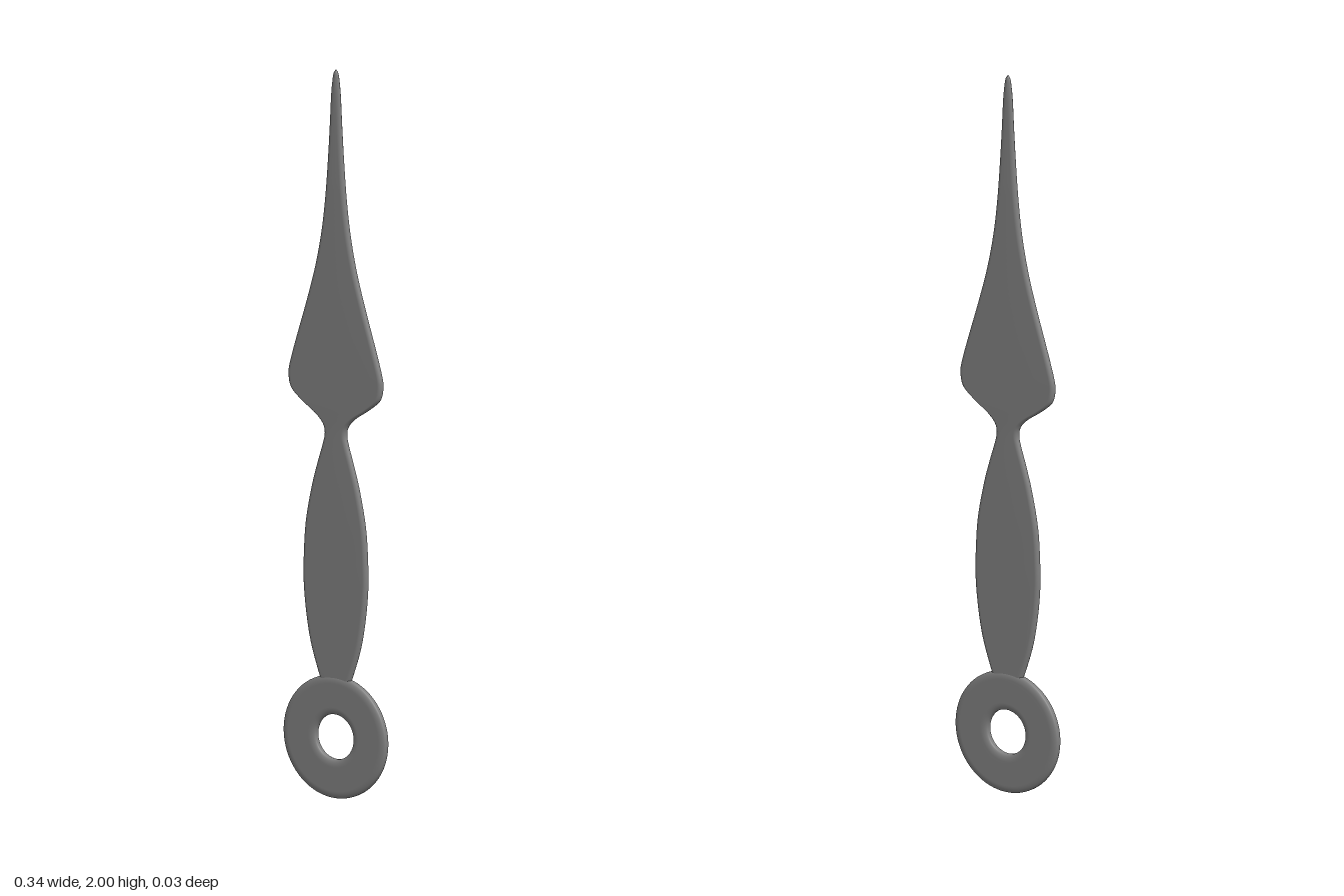
import * as THREE from 'three';

const material = new THREE.MeshStandardMaterial({ color: 0x808080, side: THREE.DoubleSide });

// Blade outline: half width at each height
const outline = [
  [0.03, 0.28], [0.055, 0.34], [0.081, 0.42], [0.096, 0.5], [0.104, 0.58], [0.104, 0.65],
  [0.097, 0.75], [0.077, 0.85], [0.057, 0.92], [0.041, 0.97], [0.035, 1.0], [0.042, 1.025],
  [0.067, 1.05], [0.105, 1.075], [0.137, 1.1], [0.15, 1.12], [0.154, 1.15], [0.149, 1.18],
  [0.128, 1.25], [0.096, 1.35], [0.067, 1.45], [0.046, 1.55], [0.033, 1.65], [0.025, 1.75],
  [0.019, 1.85], [0.015, 1.93], [0.011, 1.97], [0.007, 1.99], [0, 2],
].map(([w, y]) => new THREE.Vector2(w, y));

// Flat cross-sections with rounded edges, stacked along the outline
function bladeGeometry() {
  const rows = new THREE.SplineCurve(outline).getPoints(168);
  const arc = 6;
  const count = 2 * (arc + 1);
  const positions = [];
  const index = [];
  rows.forEach((row, i) => {
    const w = Math.max(row.x, 0);
    const bevel = Math.min(w, 0.012);
    const depth = 0.01 * Math.min(1, Math.sqrt(w / 0.03));
    for (const side of [1, -1]) {
      for (let k = 0; k <= arc; k++) {
        const a = -Math.PI / 2 + (Math.PI * k) / arc;
        positions.push(side * (w - bevel + bevel * Math.cos(a)), row.y, side * depth * Math.sin(a));
      }
    }
    if (i === rows.length - 1) return;
    for (let j = 0; j < count; j++) {
      const a = i * count + j;
      const b = i * count + ((j + 1) % count);
      index.push(a, a + count, b, b, a + count, b + count);
    }
  });
  const geometry = new THREE.BufferGeometry();
  geometry.setAttribute('position', new THREE.Float32BufferAttribute(positions, 3));
  geometry.setIndex(index);
  geometry.computeVertexNormals();
  return geometry;
}

// Washer-like ring turned from a rounded rectangular section
function ringGeometry(inner, outer, half) {
  const rx = 0.02;
  const ry = 0.008;
  const corners = [
    [outer - rx, half - ry], [inner + rx, half - ry],
    [inner + rx, ry - half], [outer - rx, ry - half],
  ];
  const profile = [new THREE.Vector2(outer, 0)];
  corners.forEach(([x, y], q) => {
    for (let k = 0; k <= 6; k++) {
      const a = ((q + k / 6) * Math.PI) / 2;
      profile.push(new THREE.Vector2(x + rx * Math.cos(a), y + ry * Math.sin(a)));
    }
  });
  profile.push(new THREE.Vector2(outer, 0));
  return new THREE.LatheGeometry(profile, 72).rotateX(Math.PI / 2);
}

export function createModel() {
  const model = new THREE.Group();
  model.name = 'clockHand';

  const blade = new THREE.Mesh(bladeGeometry(), material);
  blade.name = 'blade';
  model.add(blade);

  const ring = new THREE.Mesh(ringGeometry(0.062, 0.168, 0.0125), material);
  ring.name = 'mountingRing';
  ring.position.y = 0.168;
  model.add(ring);

  return model;
}
